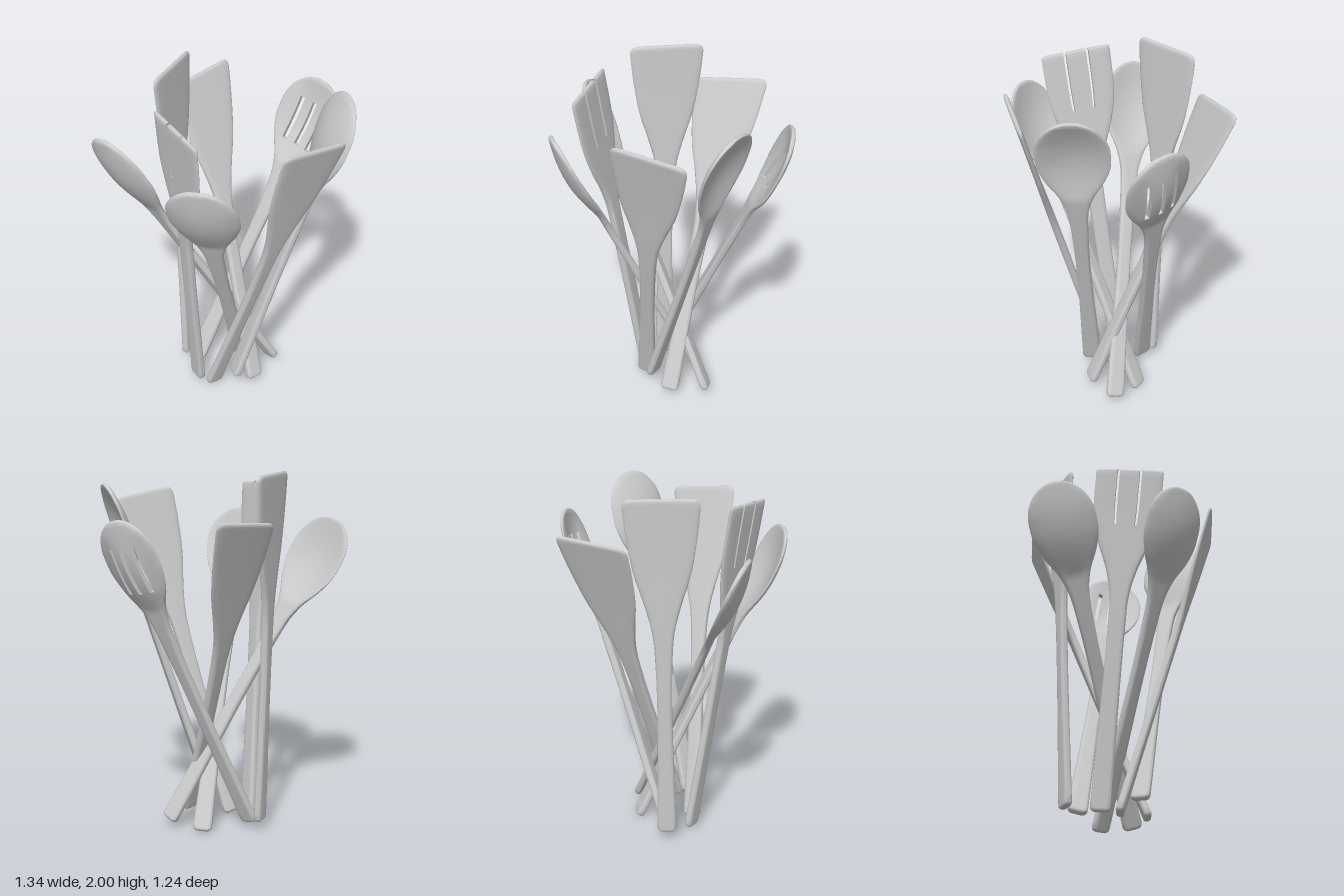
import * as THREE from 'three';
import { toCreasedNormals } from 'three/addons/utils/BufferGeometryUtils.js';

const HANDLE_ROUND = 0.03;

// Outline of each kind: [distance from tip, half width]; tip is the rounded end [length, width]
const KINDS = {
  spoon: {
    outline: [[0, 0.185], [0.2, 0.185], [0.3, 0.18], [0.4, 0.145], [0.5, 0.09], [0.6, 0.058], [0.72, 0.046], [2, 0.055]],
    tip: [0.21, 0.185], dish: 0.045, inner: [0.63, 0.45, 0.27, 0.09],
  },
  spatula: {
    outline: [[0, 0.2], [0.2, 0.18], [0.4, 0.145], [0.55, 0.1], [0.7, 0.062], [0.85, 0.047], [2, 0.055]],
    tip: [0.045, 0.045], dish: 0, inner: [0.6, 0.2],
  },
  fork: {
    outline: [[0, 0.19], [0.3, 0.178], [0.45, 0.14], [0.6, 0.085], [0.75, 0.052], [0.9, 0.047], [2, 0.055]],
    tip: [0.02, 0.02], dish: 0, inner: [0.6, 0.37, 0.29, 0.1],
    hole: (u, d) => Math.abs(Math.abs(u) - 0.33) < 0.04 && d < 0.33,
  },
};
KINDS.slottedSpoon = {
  ...KINDS.spoon, slotScale: 0.14,
  hole: (u, d) => d > 0.14 && d < 0.4 && (Math.abs(u) < 0.09 || Math.abs(Math.abs(u) - 0.54) < 0.09),
};

// How far a rounded end has opened up at distance s from it (0..1)
const round = (s, r) => (s >= r ? 1 : Math.sqrt(Math.max(0, 1 - ((r - s) / r) ** 2)));

// Thick plate lofted along y: width follows the outline, edges are rounded, holes are cut cell by cell
function utensilGeometry(kind, length, skew) {
  const { outline, tip, dish, inner, hole = () => false, slotScale = Infinity } = kind;
  const width = new THREE.CubicInterpolant(
    outline.map(p => p[0]), outline.map(p => p[1]), 1, new Float32Array(1));

  const half = [1, 0.99, 0.96, 0.91, 0.84, 0.75, ...inner];
  const us = [...half.map(u => -u), ...half.slice().reverse()];
  const rows = [];
  for (let k = 0; k < 5; k++) rows.push(HANDLE_ROUND * (1 - Math.cos(k / 5 * Math.PI / 2)));
  for (let k = 0; k <= 70; k++) rows.push(HANDLE_ROUND + (length - tip[0] - HANDLE_ROUND) * k / 70);
  for (let k = 1; k <= 14; k++) rows.push(length - tip[0] * (1 - Math.sin(k / 14 * Math.PI / 2)));

  const nu = us.length, nv = rows.length, pos = [], index = [];
  for (const side of [1, -1]) {
    for (const s of rows) {
      const d = Math.max(0, length - s);
      const w = width.evaluate(d)[0] - tip[1] * (1 - round(d, tip[0])) - 0.03 * (1 - round(s, HANDLE_ROUND));
      const thick = THREE.MathUtils.lerp(0.013, 0.021, THREE.MathUtils.smoothstep(d, 0.2, 0.9))
        * round(d, 0.02) * round(s, 0.015);
      const sag = dish * Math.sin(Math.PI * Math.min(1, d / 0.52));
      const slant = skew * Math.max(0, 1 - d / 0.5);
      for (const u of us) {
        // Inner columns stay parallel so that slots run straight
        const ws = Math.min(w, slotScale), a = Math.abs(u);
        const x = Math.sign(u) * (a <= 0.75 ? a * ws : 0.75 * ws + (w - 0.75 * ws) * (a - 0.75) / 0.25);
        const h = thick * Math.sqrt(Math.max(0, 1 - a ** 8));
        pos.push(x, s + slant * x, side * h - sag * (1 - u * u));
      }
    }
  }

  const id = (i, j, back) => (back ? nu * nv : 0) + i * nu + j;
  const quad = (a, b, c, d) => index.push(a, b, c, a, c, d);
  const inside = (i, j) => i >= 0 && j >= 0 && i < nv - 1 && j < nu - 1;
  const cut = (i, j) => hole((us[j] + us[j + 1]) / 2, length - (rows[i] + rows[i + 1]) / 2);
  for (let i = 0; i < nv - 1; i++) {
    for (let j = 0; j < nu - 1; j++) {
      if (cut(i, j)) continue;
      const ring = [[i, j], [i, j + 1], [i + 1, j + 1], [i + 1, j]];
      quad(...ring.map(([p, q]) => id(p, q, false)));
      quad(...ring.map(([p, q]) => id(p, q, true)).reverse());
      // Walls where a neighbouring cell has been cut away
      [[-1, 0], [0, 1], [1, 0], [0, -1]].forEach(([di, dj], k) => {
        if (!inside(i + di, j + dj) || !cut(i + di, j + dj)) return;
        const a = ring[k], b = ring[(k + 1) % 4];
        quad(id(...a, false), id(...a, true), id(...b, true), id(...b, false));
      });
    }
  }
  const geo = new THREE.BufferGeometry();
  geo.setAttribute('position', new THREE.Float32BufferAttribute(pos, 3));
  geo.setIndex(index);
  return toCreasedNormals(geo, 0.8);
}

// foot: end of handle, tip: end of head, across: [x, z] heading of the width
const UTENSILS = [
  { name: 'leftwardSpoon', kind: 'spoon', foot: [0.26, 0.05, -0.15], tip: [-0.6, 1.73, 0.24], across: [-0.81, -0.59] },
  { name: 'frontSpoon', kind: 'spoon', foot: [0.06, 0.01, -0.19], tip: [-0.01, 1.74, 0.61], across: [-1, 0] },
  { name: 'tallSpoon', kind: 'spoon', foot: [0.08, 0.12, 0.12], tip: [0.61, 1.93, -0.12], across: [-0.5, -0.86] },
  { name: 'slottedSpoon', kind: 'slottedSpoon', foot: [-0.19, 0.04, -0.06], tip: [0.43, 1.78, -0.51], across: [0.89, 0.46] },
  { name: 'backSpatula', kind: 'spatula', foot: [0.19, 0.05, 0.06], tip: [-0.24, 1.78, -0.47], across: [0.61, -0.79], skew: 0.18 },
  { name: 'sideSpatula', kind: 'spatula', foot: [-0.25, 0.06, -0.08], tip: [-0.31, 2.0, -0.12], across: [0.22, -0.97] },
  { name: 'frontSpatula', kind: 'spatula', foot: [-0.05, 0.02, 0.11], tip: [0.51, 1.85, 0.29], across: [0.67, -0.75] },
  { name: 'servingFork', kind: 'fork', foot: [-0.15, 0.02, 0.08], tip: [-0.17, 1.92, 0.365], across: [0.73, 0.68] },
];

export function createModel() {
  const group = new THREE.Group();
  group.name = 'kitchenUtensils';
  const material = new THREE.MeshStandardMaterial({ color: 0xcccccc });
  for (const { name, kind, foot, tip, across, skew = 0 } of UTENSILS) {
    const start = new THREE.Vector3(...foot);
    const axis = new THREE.Vector3(...tip).sub(start);
    const length = axis.length();
    axis.normalize();
    // Width direction keeps its heading and tilts to stay square to the handle
    const wide = new THREE.Vector3(across[0], -(across[0] * axis.x + across[1] * axis.z) / axis.y, across[1]).normalize();
    const normal = new THREE.Vector3().crossVectors(wide, axis);
    const mesh = new THREE.Mesh(utensilGeometry(KINDS[kind], length, skew), material);
    mesh.name = name;
    mesh.quaternion.setFromRotationMatrix(new THREE.Matrix4().makeBasis(wide, axis, normal));
    mesh.position.copy(start);
    group.add(mesh);
  }
  return group;
}
